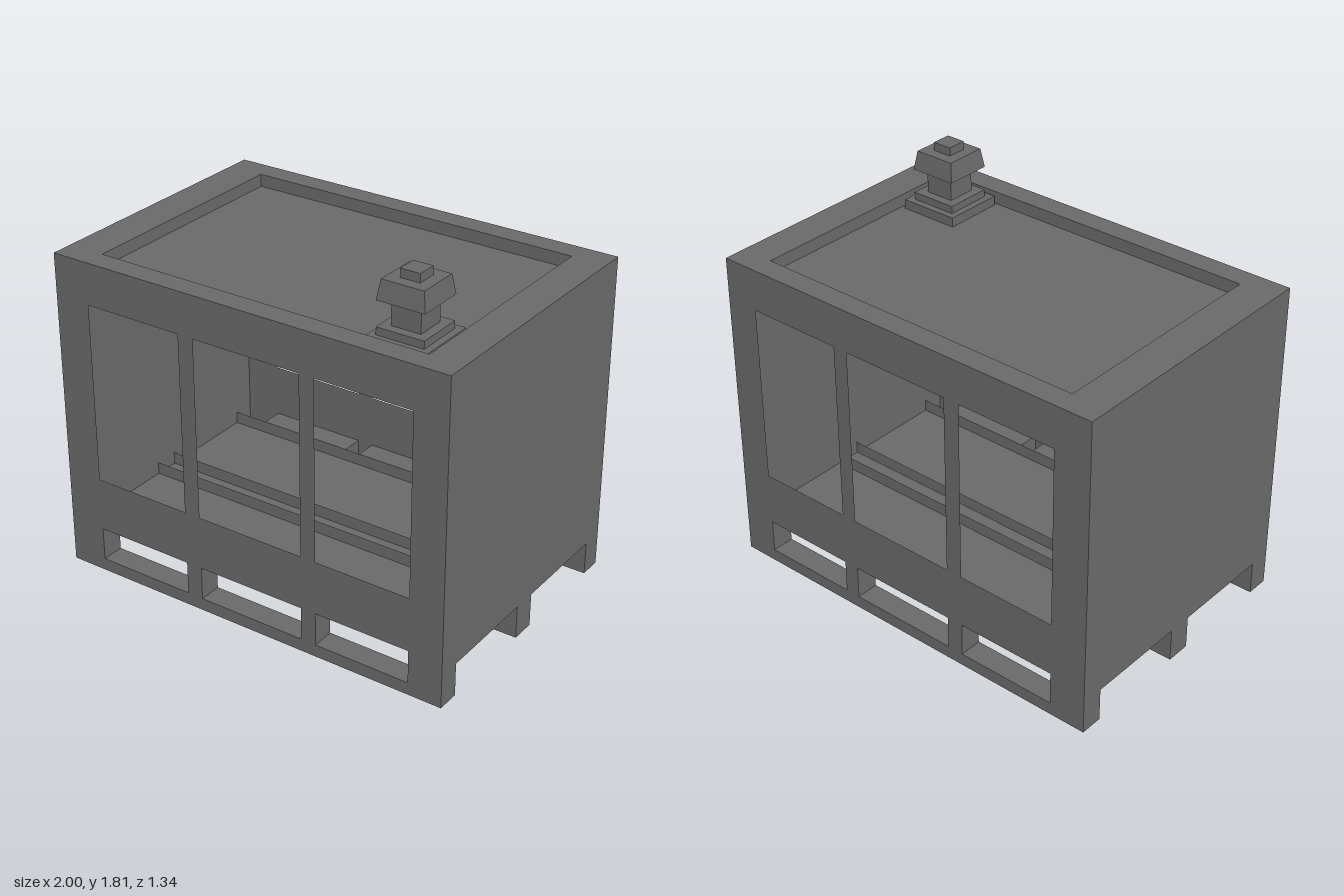
import * as THREE from 'three';

const BAYS = [[-0.82, -0.33], [-0.25, 0.29], [0.365, 0.835]];
const W = 1, D = 0.672, TOP = 1.545;
const RUN = 0.562;    // inner face of the outer runners
const MID = 0.06;     // half width of the centre runner
const FLOOR = 0.16, LIP = 0.22, SLOT = 0.06;

export function createModel() {
  const model = new THREE.Group();
  const grey = new THREE.MeshStandardMaterial({ color: 0x696969, side: THREE.DoubleSide });
  grey.name = 'dark grey metal';

  const add = (name, geometry, x = 0, y = 0, z = 0) => {
    const mesh = new THREE.Mesh(geometry, grey);
    mesh.name = name;
    mesh.position.set(x, y, z);
    model.add(mesh);
    return mesh;
  };
  const rect = (x0, x1, y0, y1, Type = THREE.Shape) => new Type([
    new THREE.Vector2(x0, y0), new THREE.Vector2(x1, y0),
    new THREE.Vector2(x1, y1), new THREE.Vector2(x0, y1)]);
  // Thin sheets: upright facing z, upright facing x, and level
  const wall = (name, x0, x1, y0, y1, z, holes = []) => {
    const s = rect(x0, x1, y0, y1);
    holes.forEach(h => s.holes.push(rect(...h, THREE.Path)));
    return add(name, new THREE.ShapeGeometry(s), 0, 0, z);
  };
  const side = (name, z0, z1, y0, y1, x) =>
    add(name, new THREE.PlaneGeometry(z1 - z0, y1 - y0).rotateY(Math.PI / 2), x, (y0 + y1) / 2, (z0 + z1) / 2);
  const level = (name, x0, x1, z0, z1, y) =>
    add(name, new THREE.PlaneGeometry(x1 - x0, z1 - z0).rotateX(-Math.PI / 2), (x0 + x1) / 2, y, (z0 + z1) / 2);

  // Front and back walls with windows and fork slots, and the runners behind them
  const windows = BAYS.map(([a, b]) => [a, b, 0.48, 1.345]);
  const slots = BAYS.map(([a, b]) => [a, b, SLOT, LIP]);
  const innerSlots = BAYS.map(([a, b]) => [a, b, SLOT, FLOOR]);
  for (const s of [1, -1]) {
    const end = s > 0 ? 'front' : 'back';
    const z0 = Math.min(s * RUN, s * D), z1 = Math.max(s * RUN, s * D);
    wall(end + 'Wall', -W, W, 0, TOP, s * D, [...windows, ...slots]);
    wall(end + 'RunnerInside', -W, W, 0, LIP, s * RUN, innerSlots);
    level(end + 'RunnerBottom', -W, W, z0, z1, 0);
    for (const [a, b] of BAYS) {
      level(end + 'SlotFloor', a, b, z0, z1, SLOT);
      level(end + 'SlotCeiling', a, b, z0, z1, LIP);
      for (const x of [a, b]) side(end + 'SlotSide', z0, z1, SLOT, LIP, x);
    }
    wall('centreRunnerSide', -W, W, 0, LIP, s * MID);
  }
  level('centreRunnerBottom', -W, W, -MID, MID, 0);
  level('floor', -W, W, -RUN, RUN, FLOOR);

  // Side walls, notched between the runners
  const notched = new THREE.Shape([
    [-D, 0], [-RUN, 0], [-RUN, FLOOR], [-MID, FLOOR], [-MID, 0], [MID, 0],
    [MID, FLOOR], [RUN, FLOOR], [RUN, 0], [D, 0], [D, TOP], [-D, TOP],
  ].map(p => new THREE.Vector2(...p)));
  for (const s of [1, -1]) {
    add(s > 0 ? 'leftWall' : 'rightWall', new THREE.ShapeGeometry(notched).rotateY(Math.PI / 2), s * W);
  }

  // Roof rim around a shallow sunken panel
  const X0 = -0.82, X1 = 0.835, Z = 0.565, SUNK = 1.485;
  const rim = rect(-W, W, -D, D);
  rim.holes.push(rect(X0, X1, -Z, Z, THREE.Path));
  add('roofRim', new THREE.ShapeGeometry(rim).rotateX(-Math.PI / 2), 0, TOP);
  level('roofPanel', X0, X1, -Z, Z, SUNK);
  for (const z of [-Z, Z]) wall('roofRecessEdge', X0, X1, SUNK, TOP, z);
  for (const x of [X0, X1]) side('roofRecessEdge', -Z, Z, SUNK, TOP, x);

  // Square vent stack: half width at the bottom, at the top, and heights
  const stack = [
    ['ventFoot', 0.145, 0.145, SUNK, 1.53],
    ['ventBase', 0.113, 0.113, 1.53, 1.565],
    ['ventColumn', 0.07, 0.07, 1.565, 1.68],
    ['ventHood', 0.114, 0.1, 1.68, 1.77],
    ['ventCap', 0.047, 0.047, 1.77, 1.81],
  ];
  for (const [name, r0, r1, y0, y1] of stack) {
    const g = new THREE.CylinderGeometry(r1 * Math.SQRT2, r0 * Math.SQRT2, y1 - y0, 4).toNonIndexed();
    g.rotateY(Math.PI / 4);
    g.computeVertexNormals();
    add(name, g, 0.668, (y0 + y1) / 2, 0.405);
  }
  return model;
}
